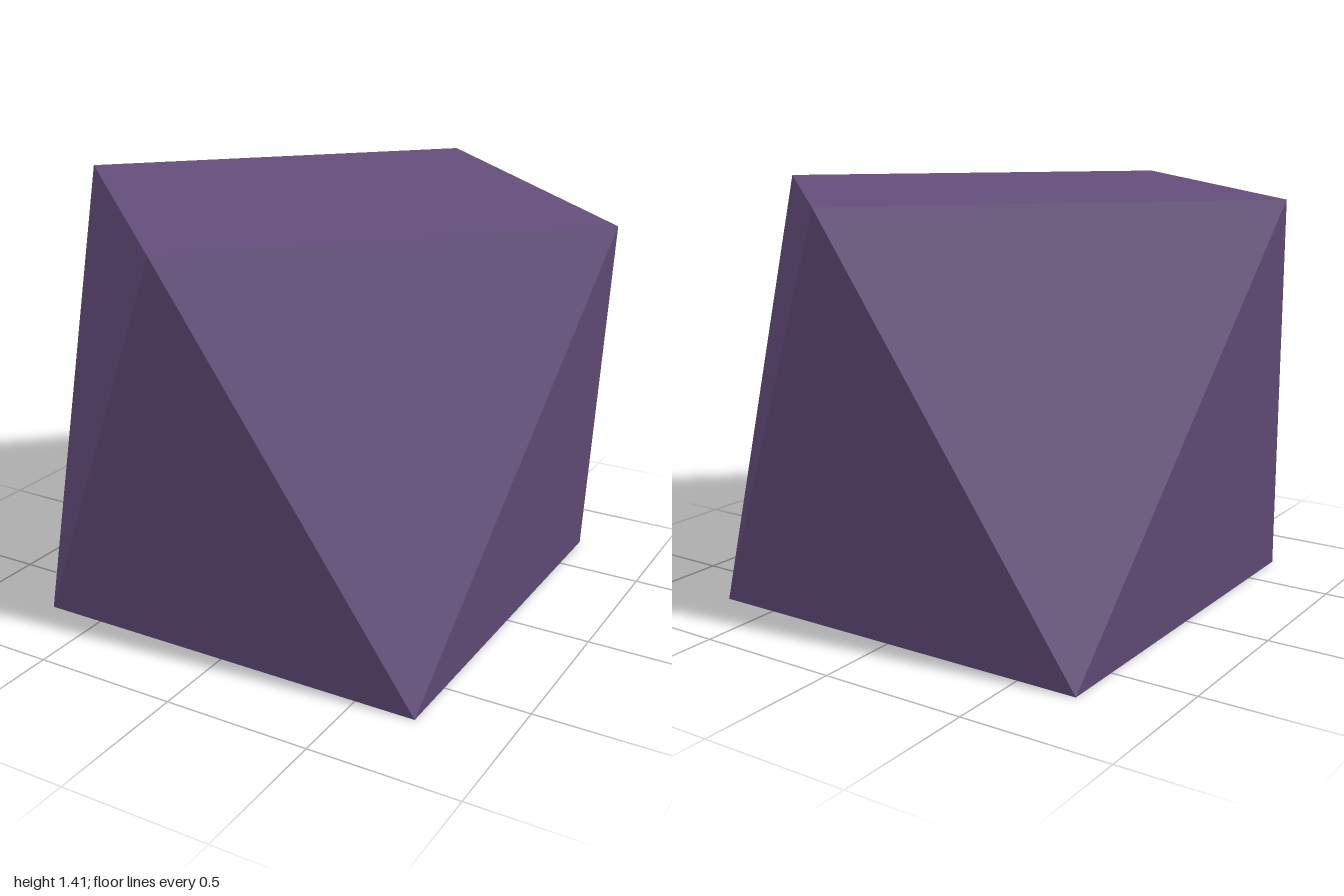
import * as THREE from 'three';

const SIDES = 4;
const RADIUS = 1;
const HEIGHT = Math.SQRT2;

// Corner of a square ring; angles run anticlockwise seen from above
function corner(i, y, twist) {
  const a = ((i + twist) / SIDES) * Math.PI * 2;
  return new THREE.Vector3(RADIUS * Math.cos(a), y, -RADIUS * Math.sin(a));
}

// Two square rings, the lower turned by half a step, joined by triangles
function antiprismGeometry() {
  const top = (i) => corner(i, HEIGHT, 0);
  const bottom = (i) => corner(i, 0, 0.5);
  const points = [];
  for (let i = 0; i < SIDES; i++) {
    points.push(top(i), bottom(i), top(i + 1));
    points.push(bottom(i), bottom(i + 1), top(i + 1));
  }
  // Flat caps
  for (let i = 1; i < SIDES - 1; i++) {
    points.push(top(0), top(i), top(i + 1));
    points.push(bottom(0), bottom(i + 1), bottom(i));
  }
  const geometry = new THREE.BufferGeometry().setFromPoints(points);
  geometry.computeVertexNormals();
  return geometry;
}

export function createModel() {
  const purple = new THREE.MeshStandardMaterial({ color: 0x644e7c });
  purple.name = 'mutedPurple';

  const solid = new THREE.Mesh(antiprismGeometry(), purple);
  solid.name = 'squareAntiprism';

  const model = new THREE.Group();
  model.name = 'antiprismModel';
  model.add(solid);
  return model;
}
